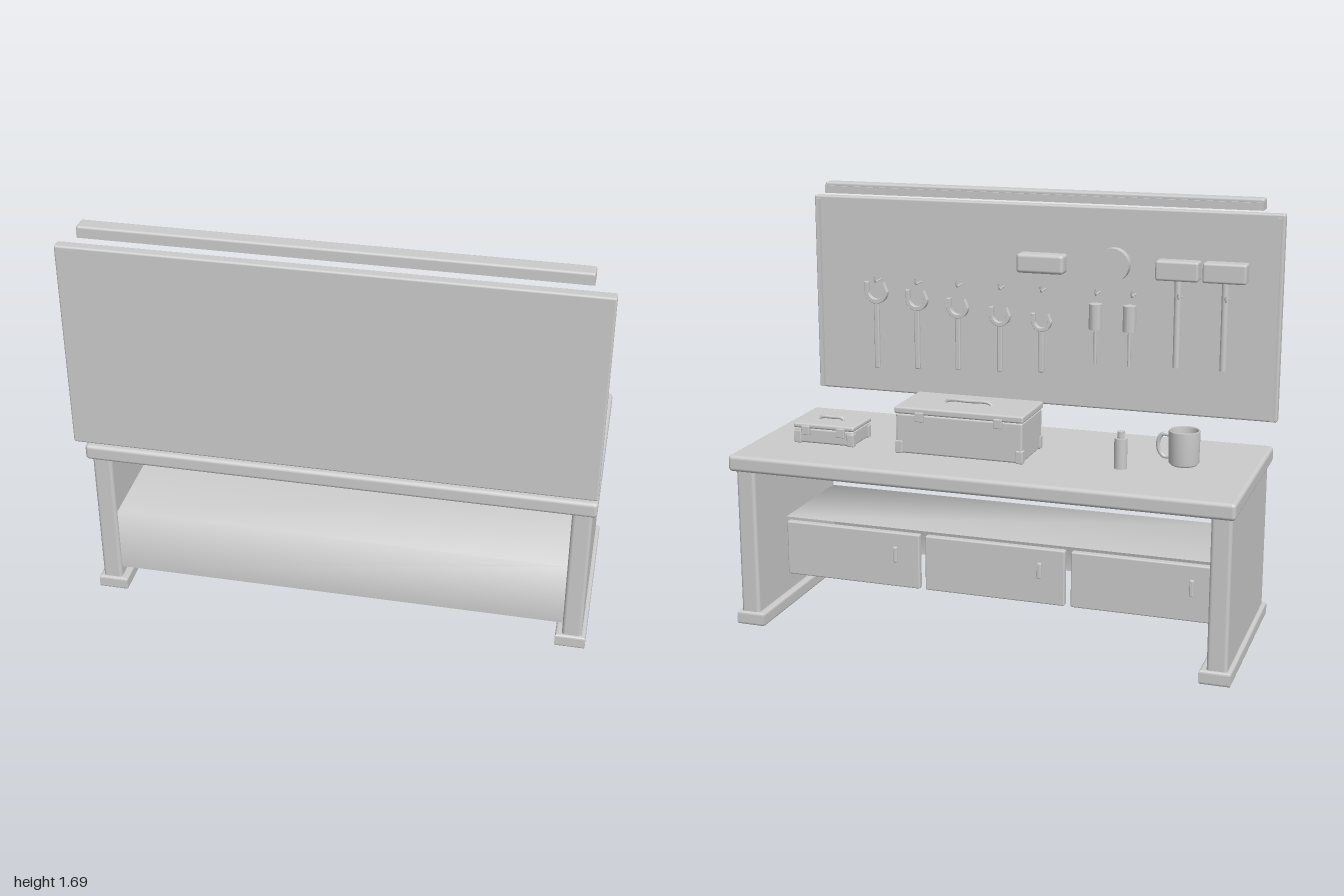
import * as THREE from 'three';
import { RoundedBoxGeometry } from 'three/addons/geometries/RoundedBoxGeometry.js';

const material = new THREE.MeshStandardMaterial({ color: 0xcccccc, side: THREE.DoubleSide });

export function createModel() {
  const model = new THREE.Group();

  const add = (name, geometry, parent = model) => {
    const mesh = new THREE.Mesh(geometry, material);
    mesh.name = name;
    parent.add(mesh);
    return mesh;
  };
  const group = (name) => {
    const g = new THREE.Group();
    g.name = name;
    model.add(g);
    return g;
  };
  // Box given by its limits, with rounded edges when r > 0
  const box = (name, [x0, x1], [y0, y1], [z0, z1], r = 0, parent = model) => {
    const size = [x1 - x0, y1 - y0, z1 - z0];
    const geometry = r ? new RoundedBoxGeometry(...size, 3, r) : new THREE.BoxGeometry(...size);
    const mesh = add(name, geometry, parent);
    mesh.position.set((x0 + x1) / 2, (y0 + y1) / 2, (z0 + z1) / 2);
    return mesh;
  };
  // Upright rod between two heights
  const rod = (name, r, y0, y1, x, z, parent, sides = 20) => {
    const mesh = add(name, new THREE.CylinderGeometry(r, r, y1 - y0, sides), parent);
    mesh.position.set(x, (y0 + y1) / 2, z);
    return mesh;
  };
  const rect = (target, w, h) => {
    target.moveTo(-w / 2, -h / 2);
    target.lineTo(w / 2, -h / 2);
    target.lineTo(w / 2, h / 2);
    target.lineTo(-w / 2, h / 2);
    target.closePath();
    return target;
  };
  const tube = (name, points, r, parent = model) =>
    add(name, new THREE.TubeGeometry(
      new THREE.CatmullRomCurve3(points.map((p) => new THREE.Vector3(...p))), 20, r, 8), parent);

  // Bench: top, side panels and slotted feet
  box('tableTop', [-1, 1], [0.645, 0.71], [-0.455, 0.36], 0.015);
  for (const s of [-1, 1]) {
    box('sidePanel', [s * 0.945 - 0.039, s * 0.945 + 0.039], [0.04, 0.65], [-0.42, 0.33], 0.014);
    const outline = rect(new THREE.Shape(), 0.1, 0.752);
    outline.holes.push(rect(new THREE.Path(), 0.045, 0.69));
    const foot = add('foot', new THREE.ExtrudeGeometry(outline, {
      depth: 0.035, bevelThickness: 0.01, bevelSize: 0.01, bevelSegments: 3 }));
    foot.rotation.x = -Math.PI / 2;
    foot.position.set(s * 0.94, 0.01, -0.045);
  }

  // Bent sheet: shelf surface folding down into the closing panel, softly shaded
  const sheet = new THREE.PlaneGeometry(1.812, 1, 1, 2);
  const fold = [[0.375, -0.15], [0.375, 0.315], [0.1, 0.315]];
  for (let i = 0; i < sheet.attributes.position.count; i++) {
    const [y, z] = fold[Math.floor(i / 2)];
    sheet.attributes.position.setY(i, y).setZ(i, z);
  }
  sheet.computeVertexNormals();
  add('shelf', sheet);

  // Three drawer fronts with upright pulls
  for (const x of [-0.605, 0, 0.605]) {
    box('drawerFront', [x - 0.29, x + 0.29], [0.135, 0.362], [-0.17, -0.14], 0.006);
    box('drawerHandle', [x - 0.197, x - 0.18], [0.24, 0.305], [-0.182, -0.165], 0.005);
  }

  // Tool board with end rails
  box('toolBoard', [-1, 1], [0.79, 1.625], [0.41, 0.455], 0.008);
  for (const s of [-1, 1])
    box('boardRail', [s * 0.98 - 0.008, s * 0.98 + 0.008], [0.795, 1.61], [0.395, 0.415]);

  // Lamp housing, open underneath
  const lamp = group('lamp');
  box('lampTop', [-0.925, 0.92], [1.668, 1.69], [0.35, 0.415], 0.009, lamp);
  box('lampBackWall', [-0.922, 0.917], [1.645, 1.68], [0.405, 0.415], 0, lamp);
  box('lampFrontWall', [-0.922, 0.917], [1.645, 1.675], [0.342, 0.354], 0, lamp);
  for (const x of [-0.92, 0.915])
    box('lampEnd', [x - 0.005, x + 0.005], [1.645, 1.68], [0.345, 0.412], 0, lamp);

  // Peg hooks
  for (const x of [0.7, 0.517, 0.335, 0.15, -0.03, -0.26, -0.41, -0.6, -0.79])
    tube('pegHook', [[x, 1.28, 0.41], [x, 1.28, 0.38], [x, 1.28, 0.345], [x, 1.3, 0.338]], 0.004);

  // Fork-headed wrenches: x, jaw radius, top, bottom
  const wrenches = [[0.7, 0.05, 1.275, 0.905], [0.517, 0.047, 1.25, 0.915], [0.335, 0.045, 1.225, 0.925],
    [0.15, 0.043, 1.2, 0.93], [-0.03, 0.041, 1.185, 0.94]];
  for (const [x, r, top, bottom] of wrenches) {
    const wrench = group('wrench');
    const jaw = new THREE.Shape();
    const inner = r * 0.7, prong = r * 0.75;
    jaw.moveTo(-r, prong);
    jaw.absarc(0, 0, r, Math.PI, Math.PI * 2, false);
    jaw.lineTo(r, prong);
    jaw.lineTo(inner, prong);
    jaw.absarc(0, 0, inner, Math.PI * 2, Math.PI, true);
    jaw.lineTo(-inner, prong);
    const head = add('wrenchJaw', new THREE.ExtrudeGeometry(jaw, {
      depth: 0.018, bevelThickness: 0.003, bevelSize: 0.002, bevelSegments: 2, curveSegments: 20 }), wrench);
    const cy = top - prong;
    head.position.set(x, cy, 0.347);
    box('wrenchShaft', [x - 0.011, x + 0.011], [bottom, cy - r * 0.85], [0.347, 0.365], 0.005, wrench);
  }

  // Screwdrivers
  for (const x of [-0.258, -0.4]) {
    const driver = group('screwdriver');
    rod('screwdriverGrip', 0.028, 1.135, 1.24, x, 0.355, driver, 8);
    rod('screwdriverShaft', 0.006, 0.99, 1.135, x, 0.355, driver, 10);
  }

  // Mallets
  for (const x of [-0.595, -0.785]) {
    const mallet = group('mallet');
    box('malletHead', [x - 0.087, x + 0.087], [1.355, 1.435], [0.315, 0.385], 0.01, mallet);
    rod('malletHandle', 0.014, 1.0, 1.36, x, 0.355, mallet);
  }

  // Sanding block and tape roll
  box('sandingBlock', [-0.13, 0.07], [1.355, 1.435], [0.315, 0.39], 0.015);
  const roll = add('tapeRoll', new THREE.CylinderGeometry(0.068, 0.068, 0.04, 32));
  roll.rotation.x = Math.PI / 2;
  roll.position.set(-0.33, 1.404, 0.35);

  // Toolboxes with lid, latches, corner guards and carrying handle
  const toolbox = (x0, x1, z0, z1, y0, split, top, handleHalf, latches) => {
    const g = group('toolbox');
    const cx = (x0 + x1) / 2, cz = (z0 + z1) / 2 - 0.003;
    box('toolboxBody', [x0 + 0.005, x1 - 0.005], [y0, split], [z0 + 0.005, z1 - 0.005], 0.008, g);
    box('toolboxLid', [x0, x1], [split, top], [z0, z1], 0.008, g);
    for (const x of latches)
      box('toolboxLatch', [x - 0.017, x + 0.017], [split - 0.025, split + 0.012], [z0 - 0.009, z0 + 0.01], 0.003, g);
    for (const x of [x0 + 0.017, x1 - 0.017])
      for (const z of [z0 + 0.017, z1 - 0.017])
        box('cornerGuard', [x - 0.015, x + 0.015], [y0 - 0.002, y0 + 0.05], [z - 0.015, z + 0.015], 0.005, g);
    const h = handleHalf;
    tube('toolboxHandle', [[cx - h, top - 0.004, cz], [cx - h * 0.9, top + 0.008, cz], [cx, top + 0.01, cz],
      [cx + h * 0.9, top + 0.008, cz], [cx + h, top - 0.004, cz]], 0.007, g);
  };
  toolbox(-0.145, 0.38, -0.25, 0.013, 0.722, 0.88, 0.908, 0.095, [-0.045, 0.275]);
  toolbox(0.555, 0.815, -0.245, -0.06, 0.726, 0.786, 0.806, 0.05, [0.61, 0.76]);

  // Mug
  const mug = group('mug');
  const profile = [[0, 0], [0.05, 0], [0.058, 0.008], [0.06, 0.13], [0.057, 0.135], [0.051, 0.13],
    [0.05, 0.013], [0.049, 0.012], [0.048, 0.012], [0, 0.012]].map((p) => new THREE.Vector2(...p));
  add('mugBody', new THREE.LatheGeometry(profile, 36), mug);
  tube('mugHandle', [[0.056, 0.11, 0], [0.085, 0.112, 0], [0.1, 0.085, 0], [0.096, 0.045, 0],
    [0.078, 0.025, 0], [0.055, 0.025, 0]], 0.008, mug);
  mug.position.set(-0.73, 0.73, -0.08);

  // Small bottle
  const bottle = group('bottle');
  rod('bottleBody', 0.025, 0.712, 0.83, -0.5, -0.145, bottle);
  rod('bottleCap', 0.014, 0.83, 0.857, -0.5, -0.145, bottle);

  return model;
}
